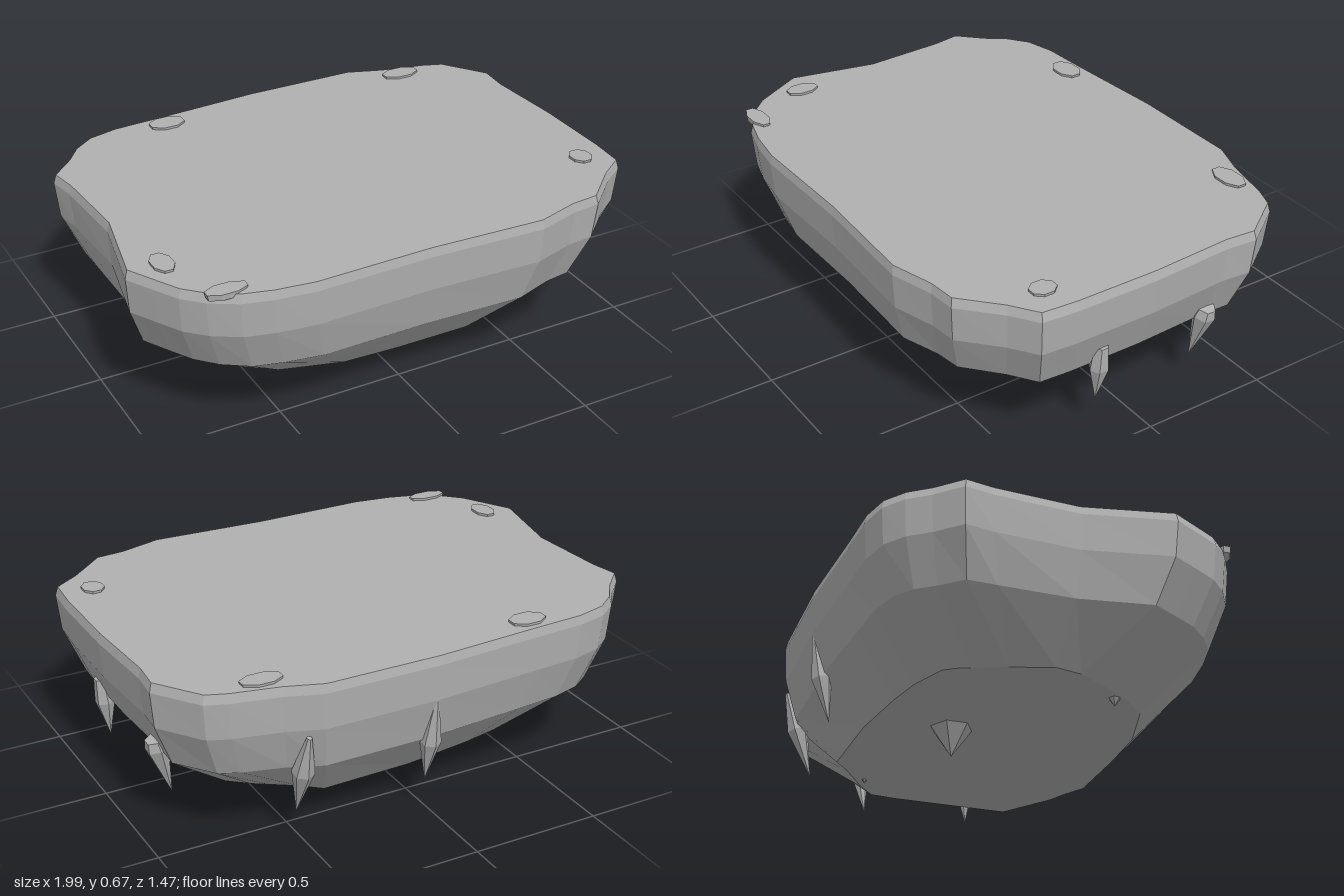
import * as THREE from 'three';

// Each entry: rim x, z, then matching underside x, z
const OUTLINE = [
  [-0.97, -0.44, -0.62, -0.30], [-0.88, -0.53, -0.60, -0.35], [-0.82, -0.61, -0.57, -0.39],
  [-0.74, -0.67, -0.50, -0.42], [-0.62, -0.70, -0.42, -0.45], [-0.43, -0.71, -0.28, -0.48],
  [0, -0.74, 0, -0.52], [0.46, -0.74, 0.36, -0.53], [0.60, -0.69, 0.43, -0.47],
  [0.78, -0.65, 0.52, -0.41], [0.86, -0.62, 0.58, -0.37], [0.98, -0.45, 0.65, -0.31],
  [0.97, -0.33, 0.66, -0.20], [0.99, 0, 0.66, 0], [0.99, 0.33, 0.66, 0.20],
  [0.98, 0.47, 0.66, 0.27], [0.88, 0.54, 0.56, 0.34], [0.74, 0.67, 0.46, 0.41],
  [0.63, 0.68, 0.39, 0.44], [0.46, 0.73, 0.30, 0.49], [0, 0.71, 0, 0.49],
  [-0.46, 0.72, -0.22, 0.48], [-0.61, 0.70, -0.36, 0.44], [-0.72, 0.67, -0.46, 0.41],
  [-0.82, 0.61, -0.54, 0.33], [-0.89, 0.54, -0.60, 0.25], [-0.94, 0.45, -0.65, 0.17],
  [-1, 0.34, -0.70, 0.08], [-0.93, 0, -0.72, -0.02], [-0.95, -0.33, -0.67, -0.18],
];

// Split shared vertices so every face is flat
function faceted(geometry) {
  const g = geometry.index ? geometry.toNonIndexed() : geometry;
  g.computeVertexNormals();
  return g;
}

// Rock slab: rings blended from rim to underside, closed by two caps
function slabGeometry() {
  const rings = [
    { y: 0.655, blend: 0, scale: 0.99 },
    { y: 0.62, blend: 0, scale: 1 },
    { y: 0.48, blend: 0.04, scale: 1 },
    { y: 0.31, blend: 0.25, scale: 1 },
    { y: 0.115, blend: 1, scale: 1 },
  ];
  const n = OUTLINE.length;
  const positions = [];
  const index = [];
  for (const { y, blend, scale } of rings) {
    for (const [x, z, bx, bz] of OUTLINE) {
      positions.push(
        THREE.MathUtils.lerp(x, bx, blend) * scale, y,
        THREE.MathUtils.lerp(z, bz, blend) * scale);
    }
  }
  const topCentre = positions.length / 3;
  positions.push(0, 0.655, 0, 0, 0.115, 0);
  const last = (rings.length - 1) * n;
  for (let i = 0; i < n; i++) {
    const j = (i + 1) % n;
    for (let r = 0; r < rings.length - 1; r++) {
      const a = r * n + i, b = r * n + j;
      index.push(a, b, a + n, b, b + n, a + n);
    }
    index.push(topCentre, j, i, topCentre + 1, last + i, last + j);
  }
  const g = new THREE.BufferGeometry();
  g.setAttribute('position', new THREE.Float32BufferAttribute(positions, 3));
  g.setIndex(index);
  return faceted(g);
}

export function createModel() {
  const group = new THREE.Group();
  const stone = new THREE.MeshStandardMaterial({ color: 0xb0b0b0 });
  stone.name = 'grey stone';

  function add(name, geometry) {
    const mesh = new THREE.Mesh(geometry, stone);
    mesh.name = name;
    group.add(mesh);
    return mesh;
  }

  // Pointed shard running from its tip up to its rooted end
  function addSpike(name, tip, root, radius, widest, rootRadius) {
    const from = new THREE.Vector3(...tip);
    const axis = new THREE.Vector3(...root).sub(from);
    const h = axis.length();
    const profile = [[0, 0], [radius, h * widest], [rootRadius, h], [0, h]]
      .map(([r, y]) => new THREE.Vector2(r, y));
    const mesh = add(name, faceted(new THREE.LatheGeometry(profile, 6)));
    mesh.position.copy(from);
    mesh.quaternion.setFromUnitVectors(new THREE.Vector3(0, 1, 0), axis.normalize());
  }

  add('rockSlab', slabGeometry());

  // Side and back spikes
  addSpike('leftFrontSpike', [0.90, 0.14, 0.18], [0.925, 0.385, 0.18], 0.038, 0.6, 0.028);
  addSpike('leftBackSpike', [0.85, 0.115, -0.285], [0.915, 0.355, -0.30], 0.044, 0.85, 0.035);
  addSpike('backOuterSpike', [0.51, 0.10, -0.60], [0.51, 0.45, -0.71], 0.042, 0.55, 0.01);
  addSpike('backInnerSpike', [0.01, 0.12, -0.65], [0.01, 0.47, -0.72], 0.04, 0.5, 0.01);

  // Spikes hanging under the slab
  addSpike('bottomSpike', [-0.10, 0, -0.205], [-0.10, 0.15, -0.205], 0.09, 0.85, 0.06);
  addSpike('smallFrontSpike', [-0.55, 0.083, 0.27], [-0.55, 0.14, 0.27], 0.028, 0.7, 0.02);
  addSpike('smallBackSpike', [0.50, 0.097, -0.38], [0.50, 0.14, -0.38], 0.014, 0.6, 0.01);

  // Flat pebbles on the top: x, z, half width, half depth
  const pebbles = [
    [-0.42, -0.635, 0.075, 0.05], [0.64, -0.61, 0.082, 0.045], [-0.87, 0.36, 0.042, 0.068],
    [0.86, 0.385, 0.044, 0.052], [-0.75, 0.62, 0.082, 0.037],
  ];
  for (const [x, z, rx, rz] of pebbles) {
    const g = new THREE.CylinderGeometry(1, 0.93, 0.024, 8);
    g.rotateY(Math.PI / 8);
    g.scale(rx, 1, rz);
    g.translate(x, 0.653, z);
    add('pebble', faceted(g));
  }
  return group;
}
